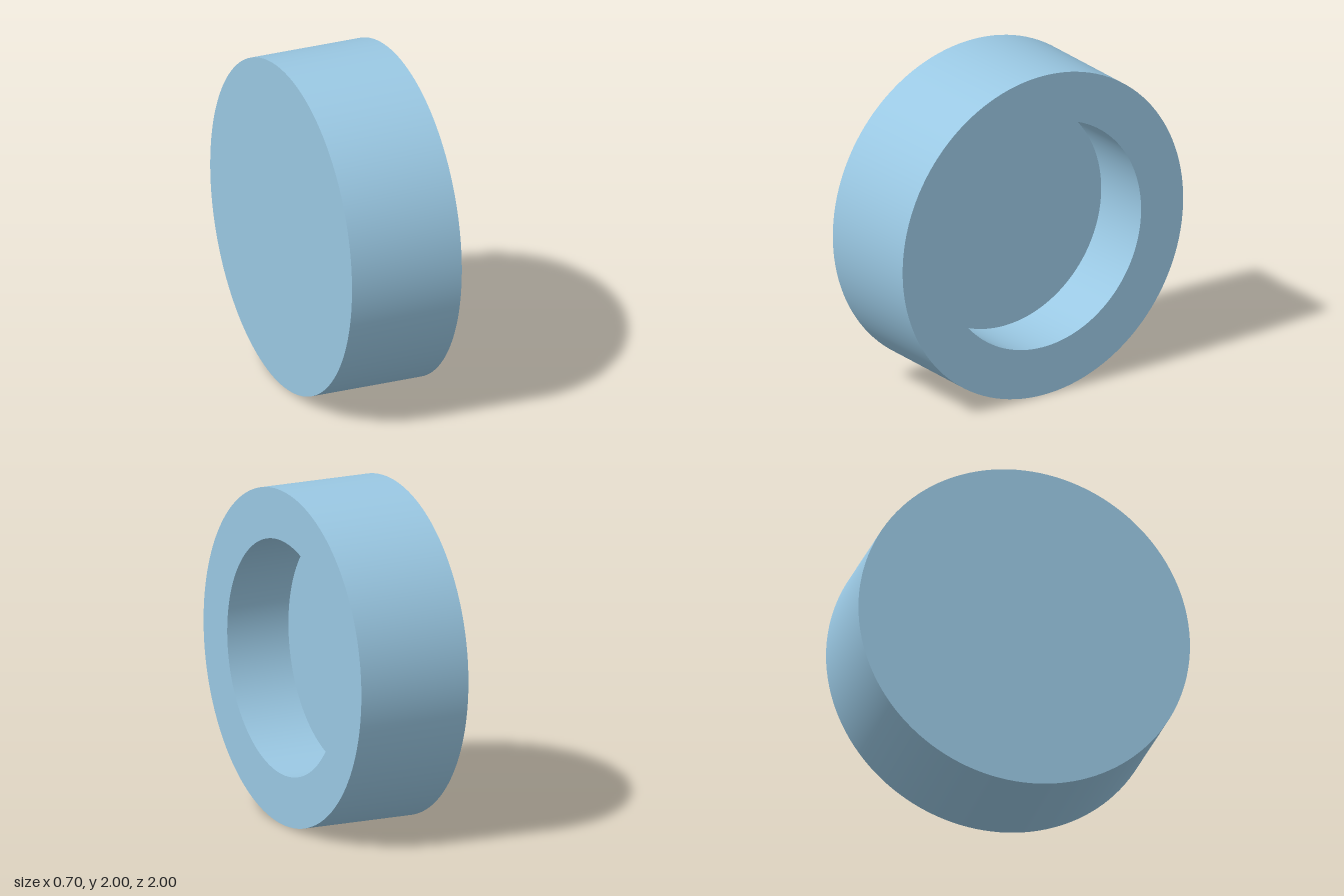
import * as THREE from 'three';
import { toCreasedNormals } from 'three/addons/utils/BufferGeometryUtils.js';

const OUTER_RADIUS = 1;
const RECESS_RADIUS = 0.7;
const HALF_WIDTH = 0.35;
const RECESS_FLOOR = -0.05;

export function createModel() {
  const group = new THREE.Group();
  group.name = 'recessedDisc';

  // Half section of the cup: closed back, outer wall, rim, recess wall, recess floor
  const profile = [
    [0, -HALF_WIDTH],
    [OUTER_RADIUS, -HALF_WIDTH],
    [OUTER_RADIUS, HALF_WIDTH],
    [RECESS_RADIUS, HALF_WIDTH],
    [RECESS_RADIUS, RECESS_FLOOR],
    [0, RECESS_FLOOR],
  ].map(([radius, along]) => new THREE.Vector2(radius, along));

  // Smooth round walls with sharp rims
  const geometry = toCreasedNormals(new THREE.LatheGeometry(profile, 128), Math.PI / 6);
  const material = new THREE.MeshStandardMaterial({ color: 0x9ac8e3 });

  // Lay the axis along x, with the recess opening toward +x
  const cup = new THREE.Mesh(geometry, material);
  cup.name = 'cup';
  cup.rotation.z = -Math.PI / 2;
  cup.position.y = OUTER_RADIUS;
  group.add(cup);

  return group;
}
